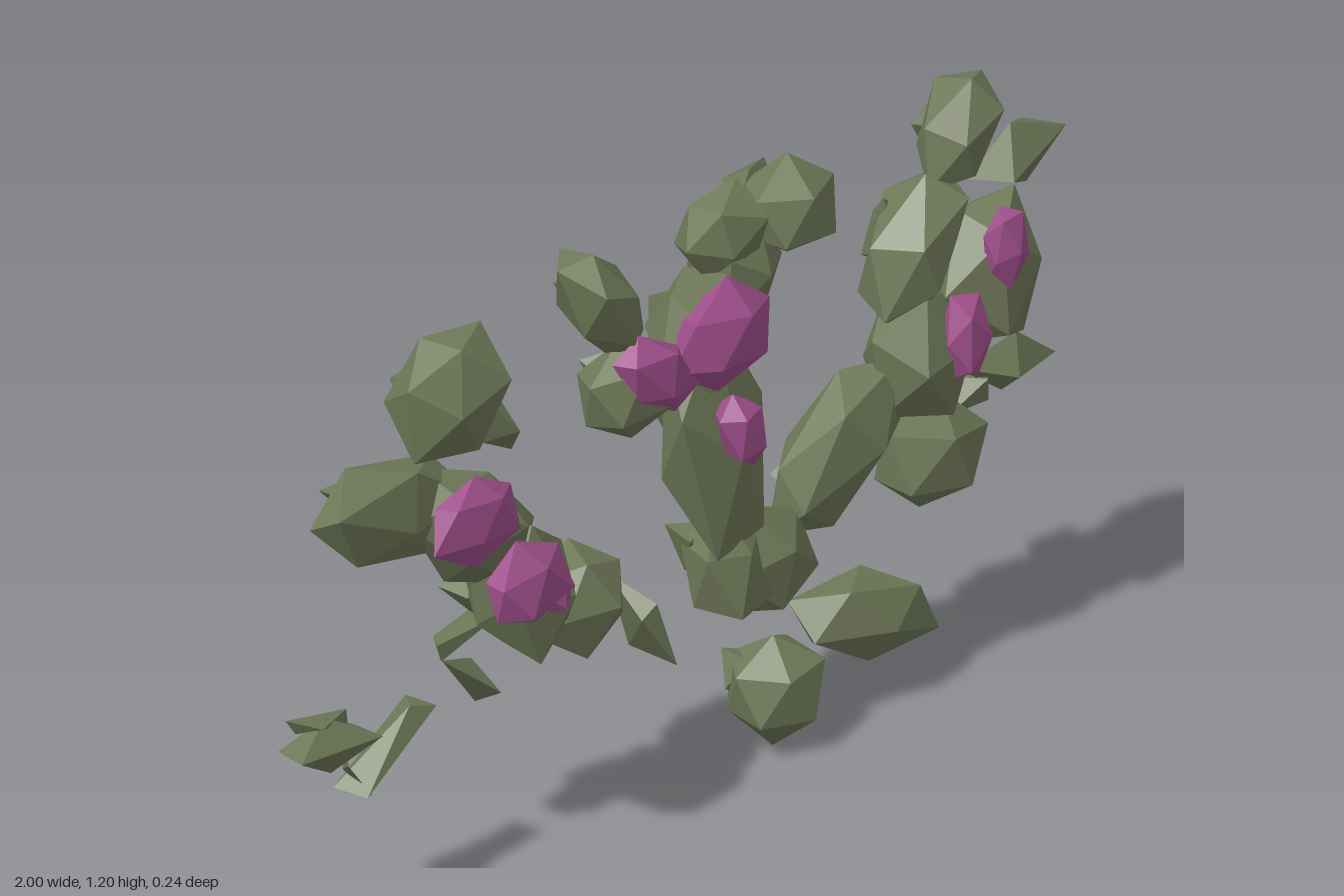
import * as THREE from 'three';

const leafGreen = new THREE.MeshStandardMaterial({ name: 'leafGreen', color: 0x6f7958 });
const blossomPink = new THREE.MeshStandardMaterial({ name: 'blossomPink', color: 0xa04f8c });
const WALL = -0.118; // plane the climbing plant grows against

// small seeded random generator
function seeded(seed) {
  let s = seed * 7919 + 17;
  return () => {
    s = (s * 16807) % 2147483647;
    return s / 2147483647;
  };
}

// Faceted lump: a tumbled, jittered polyhedron fitted to half sizes a, b, c and turned by deg in the wall plane
function lump(base, seed, [x, y, z, a, b, c, deg = 0], jitter) {
  const rnd = seeded(seed);
  for (let i = 0; i < 5; i++) rnd();
  const geo = base.clone();
  geo.rotateX(rnd() * 6).rotateY(rnd() * 6);
  const pos = geo.attributes.position;
  const offsets = new Map();
  const v = new THREE.Vector3();
  for (let i = 0; i < pos.count; i++) {
    v.fromBufferAttribute(pos, i);
    const key = v.toArray().map((n) => Math.round(n * 1000)).join();
    if (!offsets.has(key)) offsets.set(key, 1 + (rnd() - 0.5) * jitter);
    v.multiplyScalar(offsets.get(key));
    pos.setXYZ(i, v.x, v.y, v.z);
  }
  geo.center();
  geo.computeBoundingBox();
  const m = geo.boundingBox.max;
  geo.scale(a / m.x, b / m.y, c / m.z);
  geo.rotateZ(THREE.MathUtils.degToRad(deg));
  geo.translate(x, y, z);
  for (let i = 0; i < pos.count; i++) pos.setZ(i, Math.max(pos.getZ(i), WALL));
  geo.computeVertexNormals();
  return geo;
}

// Keeps only the faces turned to the wall, leaving an open cup
function wallSide(geo) {
  const pos = geo.attributes.position;
  const normal = geo.attributes.normal;
  const kept = [];
  for (let i = 0; i < pos.count; i += 3) {
    if (normal.getZ(i) < 0) kept.push(i, i + 1, i + 2);
  }
  geo.setIndex(kept);
  return geo;
}

// x, y, z, half length, half width, half depth, angle
const clumps = [
  // left branch
  [-0.62, 1.03, -0.025, 0.12, 0.112, 0.085],
  [-0.75, 0.835, -0.045, 0.185, 0.092, 0.065, -14],
  [-0.58, 0.75, -0.01, 0.16, 0.105, 0.085, -40],
  [-0.46, 0.6, 0.005, 0.14, 0.11, 0.1, -65],
  [-0.27, 0.485, -0.03, 0.095, 0.1, 0.08],
  // middle stem and crown
  [-0.21, 1.06, -0.03, 0.14, 0.075, 0.07, -56],
  [-0.15, 0.86, -0.03, 0.1, 0.095, 0.07],
  [0.03, 0.92, -0.02, 0.11, 0.11, 0.08],
  [0.07, 0.69, -0.02, 0.25, 0.105, 0.08, -78],
  [0.13, 0.99, -0.03, 0.1, 0.085, 0.07, 50],
  [0.1, 1.09, -0.03, 0.095, 0.092, 0.07],
  [0.255, 1.1, -0.015, 0.1, 0.1, 0.085],
  [0.11, 0.42, -0.03, 0.13, 0.085, 0.07, -72],
  [0.21, 0.385, -0.03, 0.145, 0.105, 0.08, -55],
  // foot
  [0.24, 0.115, -0.025, 0.098, 0.112, 0.085],
  [0.48, 0.175, -0.03, 0.175, 0.082, 0.075, -15],
  // right branch
  [0.4, 0.54, -0.03, 0.2, 0.092, 0.075, 38],
  [0.6, 0.66, -0.01, 0.13, 0.128, 0.085, 30],
  [0.6, 0.88, -0.03, 0.15, 0.092, 0.075, 60],
  [0.705, 1.07, -0.03, 0.118, 0.075, 0.07, 60],
  [0.78, 0.77, -0.015, 0.135, 0.15, 0.085],
  [0.635, 0.455, -0.025, 0.115, 0.105, 0.08],
];

// thin loose leaves
const leaves = [
  [-0.47, 0.91, -0.06, 0.12, 0.045, 0.045, -52],
  [-0.89, 0.405, -0.065, 0.115, 0.055, 0.045, -8],
  [-0.73, 0.34, -0.07, 0.12, 0.035, 0.04, 32],
  [-0.9, 0.45, -0.08, 0.08, 0.015, 0.03, -10],
  [-0.77, 0.3, -0.08, 0.06, 0.025, 0.03, 15],
  [-0.51, 0.4, -0.07, 0.11, 0.03, 0.035, -42],
  [-0.51, 0.5, -0.08, 0.09, 0.02, 0.03, 12],
  [-0.075, 0.36, -0.06, 0.1, 0.025, 0.05, -66],
  [0.89, 0.95, -0.045, 0.105, 0.075, 0.045, 15],
  [0.87, 0.535, -0.05, 0.125, 0.06, 0.045, -12],
  [0.79, 0.5, -0.07, 0.07, 0.03, 0.035, 20],
];

// cups open to the front
const cups = [
  [-0.74, 0.37, -0.07, 0.11, 0.09, 0.04, 20],
];

const blossoms = [
  [-0.63, 0.8, 0.05, 0.105, 0.09, 0.04, -10],
  [-0.51, 0.65, 0.075, 0.09, 0.09, 0.045],
  [-0.45, 0.61, 0.075, 0.04, 0.05, 0.035],
  [0.03, 0.93, 0.035, 0.122, 0.11, 0.055],
  [-0.12, 0.9, 0.02, 0.1, 0.065, 0.045, -40],
  [0.06, 0.735, 0.06, 0.085, 0.045, 0.04, -65],
  [0.645, 0.71, 0.06, 0.05, 0.085, 0.035],
  [0.755, 0.845, 0.06, 0.045, 0.08, 0.035],
];

export function createModel() {
  const model = new THREE.Group();
  model.name = 'climbingPlant';
  const ico = new THREE.IcosahedronGeometry(1, 0);
  const octa = new THREE.OctahedronGeometry(1, 0);

  const addAll = (name, list, base, material, seed, jitter, finish = (geo) => geo) => {
    const group = new THREE.Group();
    group.name = name + 's';
    list.forEach((spec, i) => {
      const mesh = new THREE.Mesh(finish(lump(base, seed + i, spec, jitter)), material);
      mesh.name = name;
      group.add(mesh);
    });
    model.add(group);
  };

  // one broad leaf tip on the wall side of every clump
  const rnd = seeded(5);
  const backTips = clumps.map(([x, y, , a, b, , deg = 0]) => [
    x + (rnd() - 0.5) * b * 0.6, y + (rnd() - 0.5) * b * 0.6,
    -0.08, a * 0.5, b * 0.55, 0.037, deg + (rnd() - 0.5) * 60,
  ]);

  addAll('leafClump', clumps, ico, leafGreen, 11, 0.25);
  addAll('looseLeaf', leaves, octa, leafGreen, 71, 0.3);
  addAll('leafCup', cups, ico, leafGreen, 91, 0.25, wallSide);
  addAll('backLeafTip', backTips, octa, leafGreen, 131, 0.3);
  addAll('blossom', blossoms, ico, blossomPink, 311, 0.25);
  return model;
}
